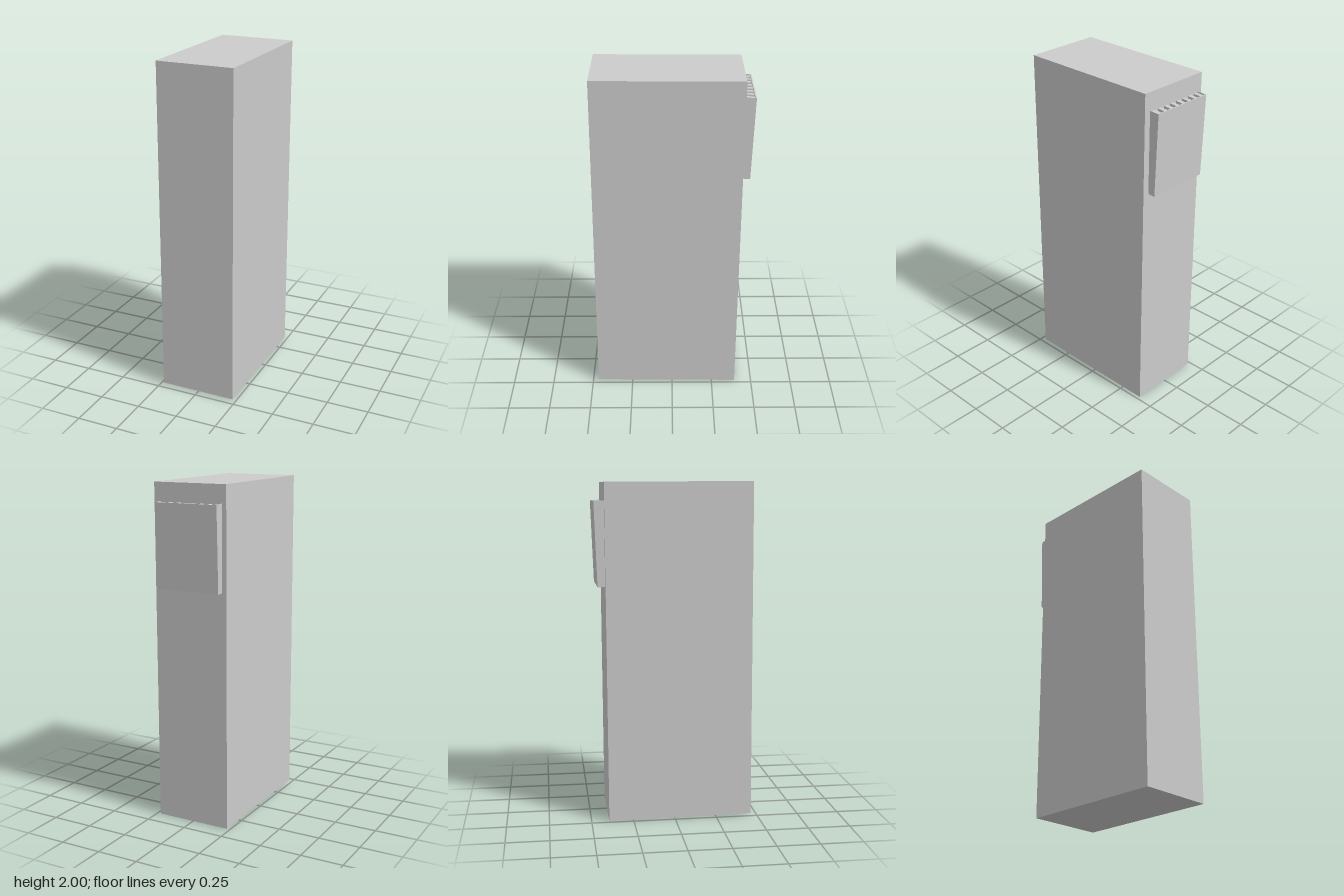
import * as THREE from 'three';

const material = new THREE.MeshStandardMaterial({ color: 0xcccccc, flatShading: true });

// Side profile of [z, y] points, extruded from x0 to x1
function prism(name, profile, x0, x1) {
  const shape = new THREE.Shape(profile.map(([z, y]) => new THREE.Vector2(z, y)));
  const geometry = new THREE.ExtrudeGeometry(shape, { depth: x1 - x0, bevelEnabled: false });
  geometry.rotateY(-Math.PI / 2).translate(x1, 0, 0);
  const mesh = new THREE.Mesh(geometry, material);
  mesh.name = name;
  return mesh;
}

export function createModel() {
  const model = new THREE.Group();
  model.name = 'cabinet';

  // Tall cabinet, leaning very slightly backwards
  model.add(prism('body', [[0.465, 0.009], [0.456, 2], [-0.405, 1.995], [-0.395, 0]], -0.23, 0.229));

  // Open-topped vent hood on the back, flaring outwards towards the top
  const hood = new THREE.Group();
  hood.name = 'ventHood';
  const left = 0.189, right = -0.203, side = 0.004;
  const bodyTop = [-0.403, 1.89], bodyBottom = [-0.4, 1.4];
  const outline = [bodyBottom, bodyTop, [-0.464, 1.887], [-0.446, 1.397]];
  hood.add(prism('hoodRightSide', outline, right, right + side));
  hood.add(prism('hoodLeftSide', outline, left - side, left));
  hood.add(prism('hoodPanel',
    [[-0.438, 1.397], [-0.457, 1.887], [-0.464, 1.887], [-0.446, 1.397]], right + side, left - side));
  hood.add(prism('hoodFloor',
    [[-0.4, 1.4], [-0.4, 1.408], [-0.4385, 1.405], [-0.438, 1.397]], right + side, left - side));

  // Row of upright fins inside the hood
  for (let i = 0; i < 8; i++) {
    const x = -0.181 + i * 0.0493;
    hood.add(prism('ventFin',
      [[-0.4, 1.405], [-0.403, 1.885], [-0.456, 1.882], [-0.438, 1.402]], x - 0.0125, x + 0.0125));
  }
  model.add(hood);
  return model;
}
